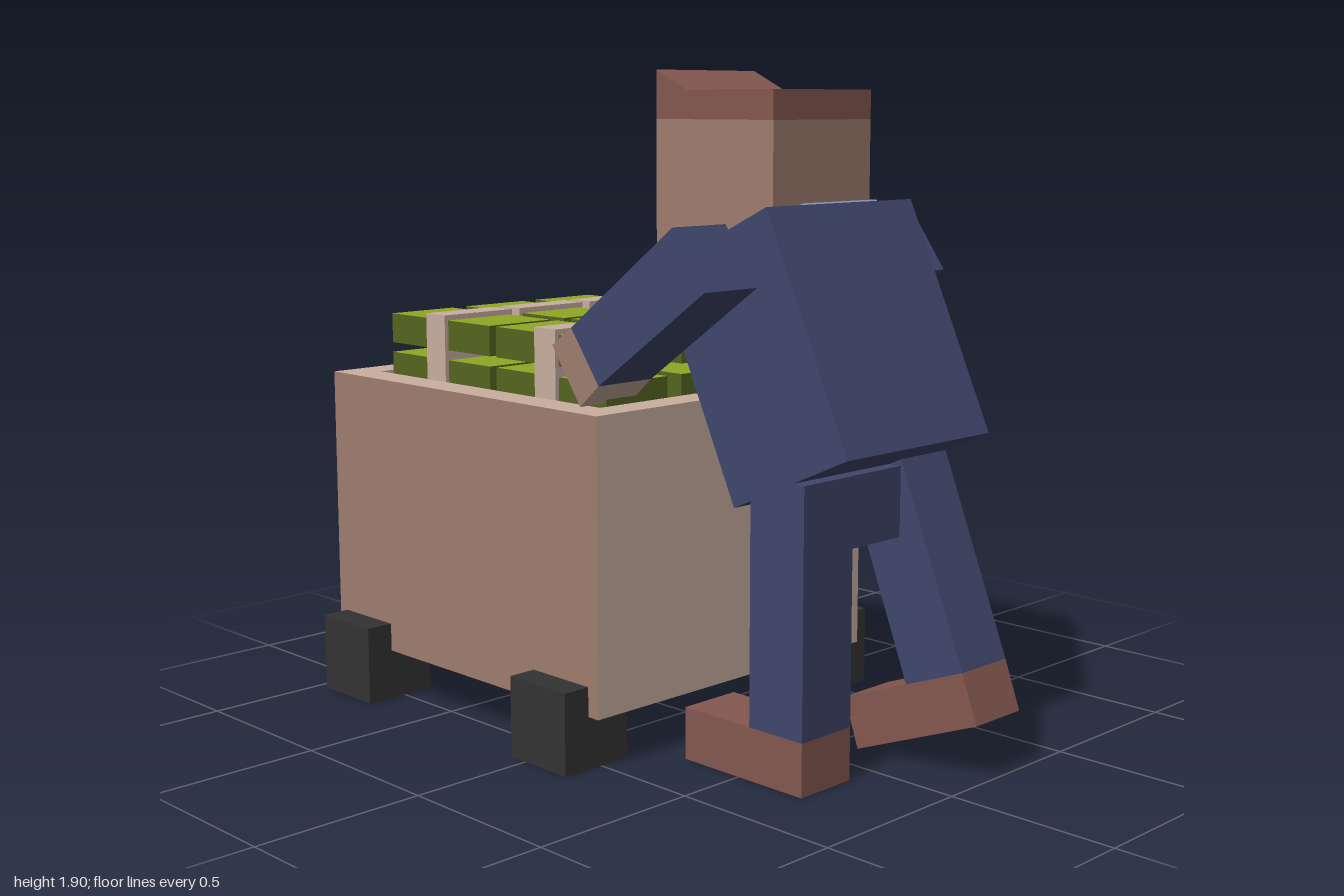
import * as THREE from 'three';

const mat = (name, color) => Object.assign(new THREE.MeshStandardMaterial({ color }), { name });

export function createModel() {
  const root = new THREE.Group();
  root.name = 'workerWithCart';
  const navy = mat('navy suit', 0x3f466b);
  const pale = mat('pale tan', 0xc9ae9f);
  const tan = mat('deep tan', 0xa07d6f);
  const brown = mat('brown', 0x84584f);
  const black = mat('wheel black', 0x333333);
  const lime = mat('lime green', 0x8fa724);
  const olive = mat('dark green', 0x56651f);
  const lavender = mat('shirt lavender', 0xa0a9d8);

  const add = (name, geometry, material, parent = root) => {
    const mesh = new THREE.Mesh(geometry, material);
    mesh.name = name;
    parent.add(mesh);
    return mesh;
  };
  // Box given by its limits on each axis
  const box = (name, [x0, x1], [y0, y1], [z0, z1], material, parent) =>
    add(name, new THREE.BoxGeometry(x1 - x0, y1 - y0, z1 - z0)
      .translate((x0 + x1) / 2, (y0 + y1) / 2, (z0 + z1) / 2), material, parent);
  // Side outline of [z, y] points, extruded from x0 to x1
  const slab = (name, points, x0, x1, material, parent) => {
    const shape = new THREE.Shape(points.map(([z, y]) => new THREE.Vector2(-z, y)));
    const geo = new THREE.ExtrudeGeometry(shape, { depth: x1 - x0, bevelEnabled: false });
    return add(name, geo.rotateY(Math.PI / 2).translate(x0, 0, 0), material, parent);
  };
  const group = (name) => {
    const g = new THREE.Group();
    g.name = name;
    root.add(g);
    return g;
  };

  // Cart: side walls, end walls, floor
  const cart = group('cart');
  const woodFaces = [tan, tan, pale, pale, pale, pale];
  for (const s of [-1, 1]) {
    const xs = s < 0 ? [-0.545, -0.44] : [0.44, 0.545];
    box('cartSide', xs, [0.15, 0.99], [-1, 0.21], woodFaces, cart);
    // Block wheels
    for (const z of [-0.85, 0.055]) {
      box('wheel', s < 0 ? [-0.63, -0.4] : [0.4, 0.63], [0, 0.235], [z - 0.115, z + 0.115], black, cart);
    }
  }
  for (const zs of [[-1, -0.9], [0.11, 0.21]]) {
    box('cartEnd', [-0.44, 0.44], [0.15, 0.99], zs, woodFaces, cart);
  }
  box('cartFloor', [-0.44, 0.44], [0.15, 0.72], [-0.9, 0.11], pale, cart);

  // Stacked green bundles, each column held by straps
  const cargo = group('cargo');
  const bundleFaces = [olive, olive, lime, olive, olive, olive];
  for (const x of [-0.29, 0, 0.29]) {
    for (const zs of [[-0.88, -0.405], [-0.375, 0.1]]) {
      for (let i = 0; i < 4; i++) {
        const y = 0.72 + i * 0.12;
        box('bundle', [x - 0.117, x + 0.117], [y, y + 0.09], zs, bundleFaces, cargo);
      }
    }
    for (const z of [-0.645, -0.143]) {
      box('strap', [x - 0.13, x + 0.13], [0.72, 1.186], [z - 0.045, z + 0.045], pale, cargo);
    }
  }

  // Leaning torso
  slab('torso', [[0.59, 1.55], [0.19, 1.36], [0.48, 0.745], [0.875, 0.925]], -0.295, 0.295, navy);

  // Shirt: strip across the shoulders and a V on the chest
  slab('shirtTop', [[0.589, 1.55], [0.19, 1.36], [0.189, 1.364], [0.587, 1.554]], -0.15, 0.15, lavender);
  const vee = new THREE.Shape([[-0.15, 0], [0, -0.48], [0.15, 0]].map(([x, y]) => new THREE.Vector2(x, y)));
  const chest = add('shirtFront', new THREE.ExtrudeGeometry(vee, { depth: 0.005, bevelEnabled: false }), lavender);
  chest.position.set(0, 1.36, 0.19);
  chest.lookAt(0, 1.36 - 0.426, 0.19 - 0.904);

  // Head and hair
  const head = group('head');
  box('face', [-0.197, 0.197], [1.41, 1.77], [0.083, 0.523], [tan, tan, pale, pale, tan, pale], head);
  slab('hair', [[0.523, 1.77], [0.523, 1.85], [0.2, 1.85], [0.083, 1.905], [0.083, 1.77]], -0.197, 0.197, brown, head);

  // Arms reaching to the cart
  for (const [x0, x1] of [[-0.49, -0.295], [0.295, 0.49]]) {
    const arm = group('arm');
    slab('sleeve', [[0.445, 1.5], [0.56, 1.34], [0.16, 1.06], [0.05, 1.21]], x0, x1, navy, arm);
    slab('hand', [[0.05, 1.21], [0.16, 1.06], [0.085, 0.995], [-0.028, 1.155]], x0, x1, [tan, pale], arm);
  }

  // Hips, standing leg and pushing leg
  box('hips', [-0.29, 0.29], [0.642, 0.84], [0.542, 0.728], navy);
  box('standingLeg', [-0.295, -0.1], [0.15, 0.84], [0.54, 0.73], navy);
  box('standingShoe', [-0.295, -0.1], [0, 0.15], [0.295, 0.73], brown);
  slab('pushingLeg', [[0.95, 0.305], [0.725, 0.87], [0.54, 0.79], [0.76, 0.232]], 0.1, 0.295, navy);
  slab('pushingShoe', [[0.95, 0.305], [1, 0.168], [0.59, 0.005], [0.54, 0.148]], 0.1, 0.295, brown);

  return root;
}
